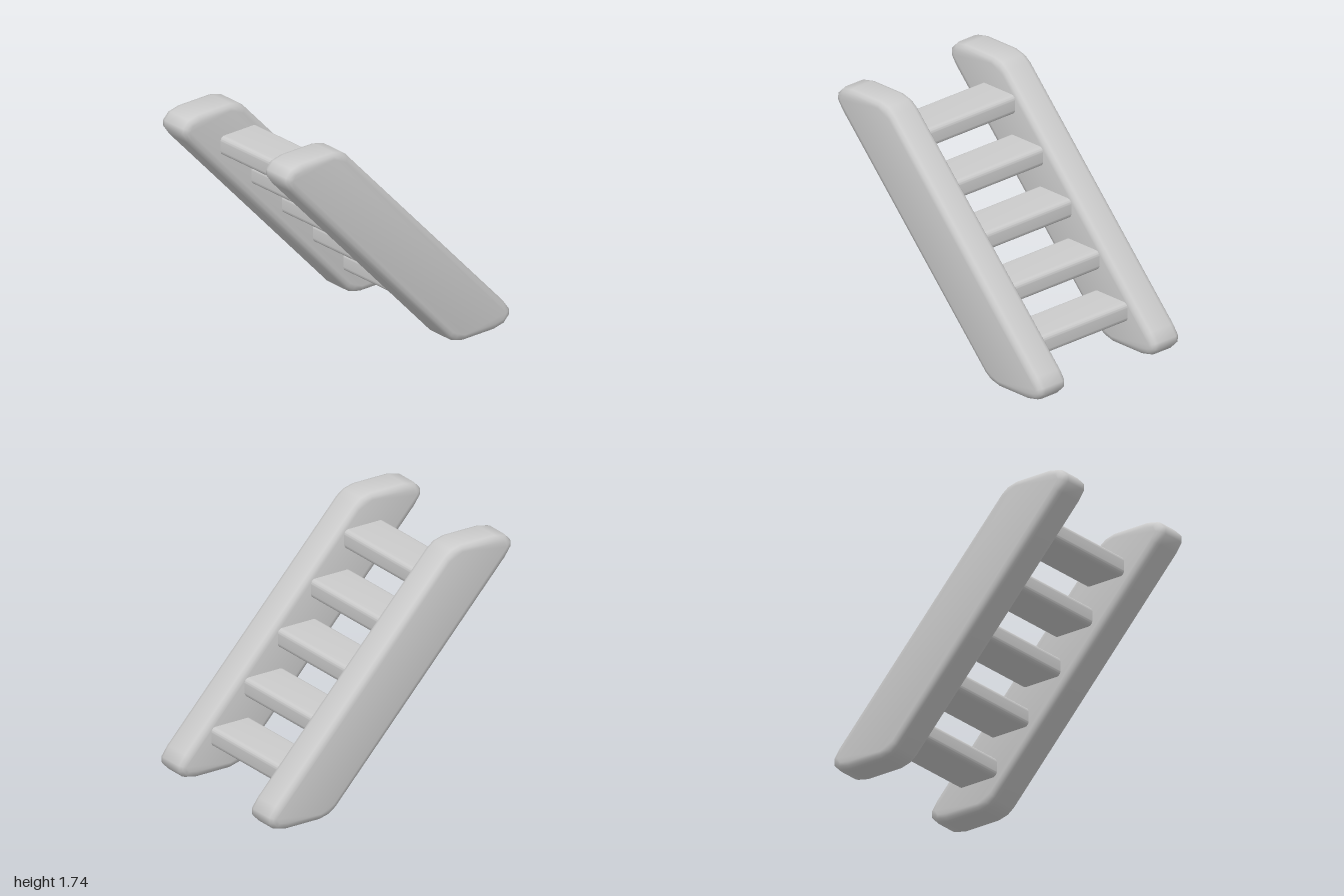
import * as THREE from 'three';
import { toCreasedNormals } from 'three/addons/utils/BufferGeometryUtils.js';

const material = new THREE.MeshStandardMaterial({ color: 0xcccccc });

// Extrude a side-on outline along z, centred on z = 0, with optional softened rims
function slab(shape, depth, bevel) {
  const geometry = new THREE.ExtrudeGeometry(shape, {
    depth: depth - 2 * bevel,
    bevelEnabled: bevel > 0,
    bevelSize: bevel,
    bevelThickness: bevel,
    bevelOffset: -bevel,
    bevelSegments: 3,
    curveSegments: 4,
  });
  geometry.translate(0, 0, -depth / 2 + bevel);
  return toCreasedNormals(geometry, 0.9);
}

// Slanted rail outline: one half, then the same half turned by 180 degrees
function railShape() {
  const height = 1.74;
  const half = [
    [0.445, 0.06], [0.5, 0.02], [0.58, 0], [0.86, 0],
    [0.95, 0.02], [1, 0.07], [1, 0.12], [0.95, 0.19],
  ];
  const points = [...half, ...half.map(([x, y]) => [-x, height - y])];
  return new THREE.Shape(points.map(([x, y]) => new THREE.Vector2(x, y)));
}

// Rounded rectangle for the step section
function stepShape(width, height, r) {
  const x = width / 2, y = height / 2;
  const s = new THREE.Shape();
  s.absarc(x - r, y - r, r, 0, Math.PI / 2);
  s.absarc(-x + r, y - r, r, Math.PI / 2, Math.PI);
  s.absarc(-x + r, -y + r, r, Math.PI, Math.PI * 1.5);
  s.absarc(x - r, -y + r, r, Math.PI * 1.5, Math.PI * 2);
  s.closePath();
  return s;
}

export function createModel() {
  const model = new THREE.Group();
  model.name = 'stairs';

  // Two side rails
  const railGeometry = slab(railShape(), 0.256, 0.05);
  for (const side of [-1, 1]) {
    const rail = new THREE.Mesh(railGeometry, material);
    rail.name = side > 0 ? 'frontRail' : 'backRail';
    rail.position.z = side * 0.532;
    model.add(rail);
  }

  // Five steps, ends sunk into the rails
  const stepGeometry = slab(stepShape(0.33, 0.14, 0.035), 0.9, 0);
  for (let i = 0; i < 5; i++) {
    const step = new THREE.Mesh(stepGeometry, material);
    step.name = `step${i + 1}`;
    step.position.set(0.58 - 0.274 * i, 0.275 + 0.2955 * i, 0);
    model.add(step);
  }

  return model;
}
